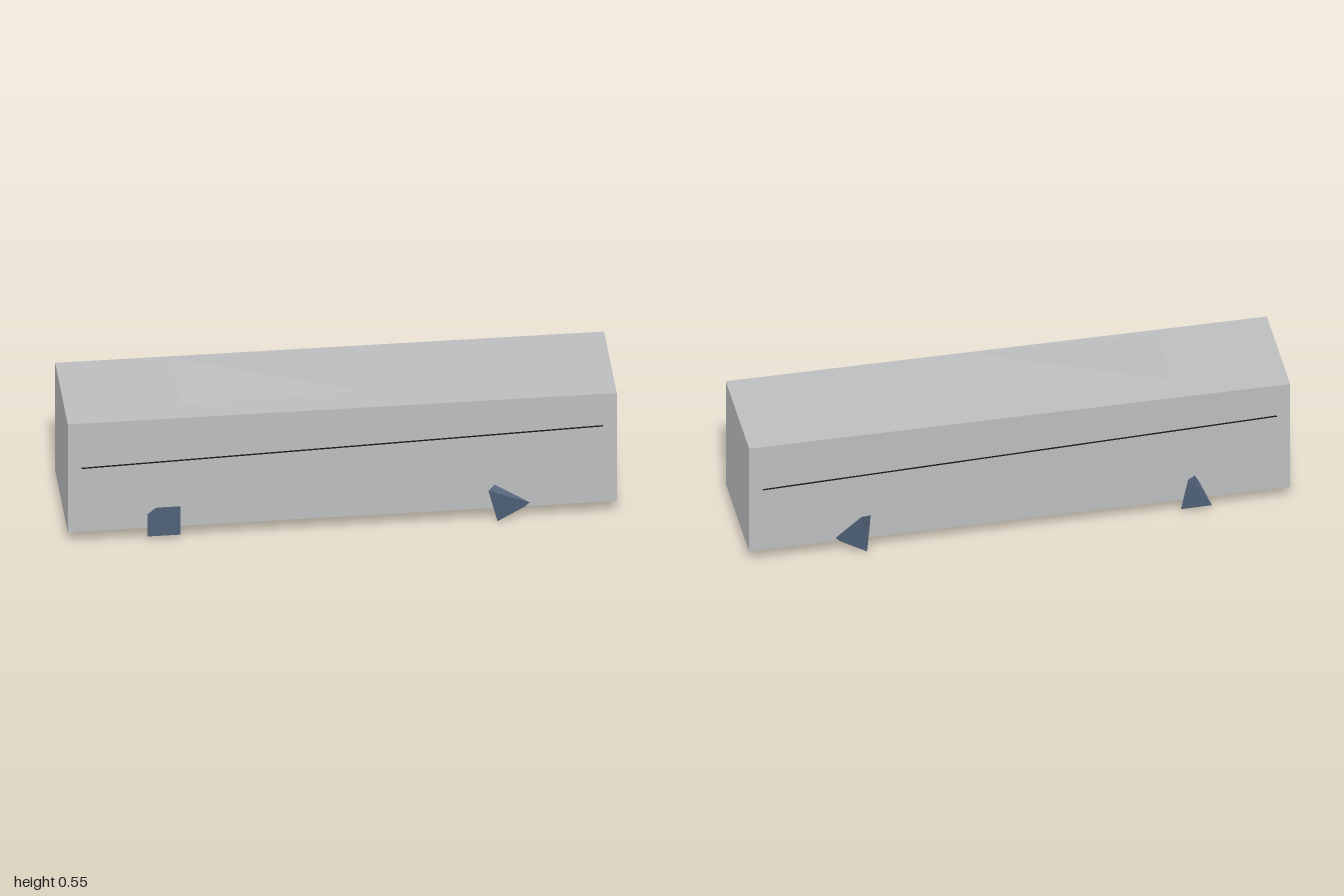
import * as THREE from 'three';
import { ConvexGeometry } from 'three/addons/geometries/ConvexGeometry.js';

export function createModel() {
  const model = new THREE.Group();
  const grey = new THREE.MeshStandardMaterial({ color: 0xbcbdbf, side: THREE.DoubleSide });
  grey.name = 'hullGrey';
  const blue = new THREE.MeshStandardMaterial({ color: 0x4f6177, flatShading: true });
  blue.name = 'slateBlue';
  const dark = new THREE.MeshStandardMaterial({ color: 0x17191c });
  dark.name = 'lineBlack';

  const add = (name, geometry, material) => {
    const mesh = new THREE.Mesh(geometry, material);
    mesh.name = name;
    model.add(mesh);
    return mesh;
  };

  // Long plain body
  add('body', new THREE.BoxGeometry(2, 0.46, 0.425), grey).position.set(0, 0.29, 0.0025);

  // Slightly twisted roof panel floating above the body
  const [a, b, c, d] = [
    [-0.58, 0.537, 0.153], [0.08, 0.553, 0.153],
    [0.08, 0.537, -0.147], [-0.58, 0.553, -0.147],
  ];
  const panel = new THREE.BufferGeometry();
  panel.setAttribute('position', new THREE.Float32BufferAttribute([a, b, d, b, c, d].flat(), 3));
  panel.computeVertexNormals();
  add('roofPanel', panel, grey);

  // Thin sloping line along each long side
  for (const side of [1, -1]) {
    const line = add(side > 0 ? 'frontLine' : 'backLine', new THREE.BoxGeometry(1.9, 0.004, 0.006), dark);
    line.position.set(0, 0.3575, 0.0025 + side * 0.2125);
    line.rotation.z = side * Math.atan2(0.055, 1.9);
  }

  // Small faceted feet, each a convex wedge partly sunk into the body
  const feet = {
    frontFootRight: [
      [-0.71, 0.025, 0.219], [-0.59, 0.025, 0.219], [-0.59, 0.145, 0.219],
      [-0.68, 0.145, 0.219], [-0.71, 0.12, 0.219],
      [-0.70, 0.06, 0.21], [-0.60, 0.06, 0.21], [-0.64, 0.14, 0.205],
    ],
    frontFootLeft: [
      [0.53, 0.148, 0.236], [0.555, 0.16, 0.215], [0.69, 0.072, 0.214],
      [0.565, 0.005, 0.219], [0.58, 0.062, 0.209],
    ],
    backFootLeft: [
      [0.59, 0.172, -0.234], [0.685, 0.07, -0.209], [0.55, 0.157, -0.209],
      [0.565, 0, -0.214], [0.58, 0.062, -0.2],
    ],
    backFootRight: [
      [-0.595, 0.022, -0.215], [-0.62, 0.155, -0.222], [-0.65, 0.163, -0.209],
      [-0.71, 0.022, -0.213], [-0.65, 0.062, -0.203],
    ],
  };
  for (const [name, points] of Object.entries(feet)) {
    add(name, new ConvexGeometry(points.map((p) => new THREE.Vector3(...p))), blue);
  }

  return model;
}
